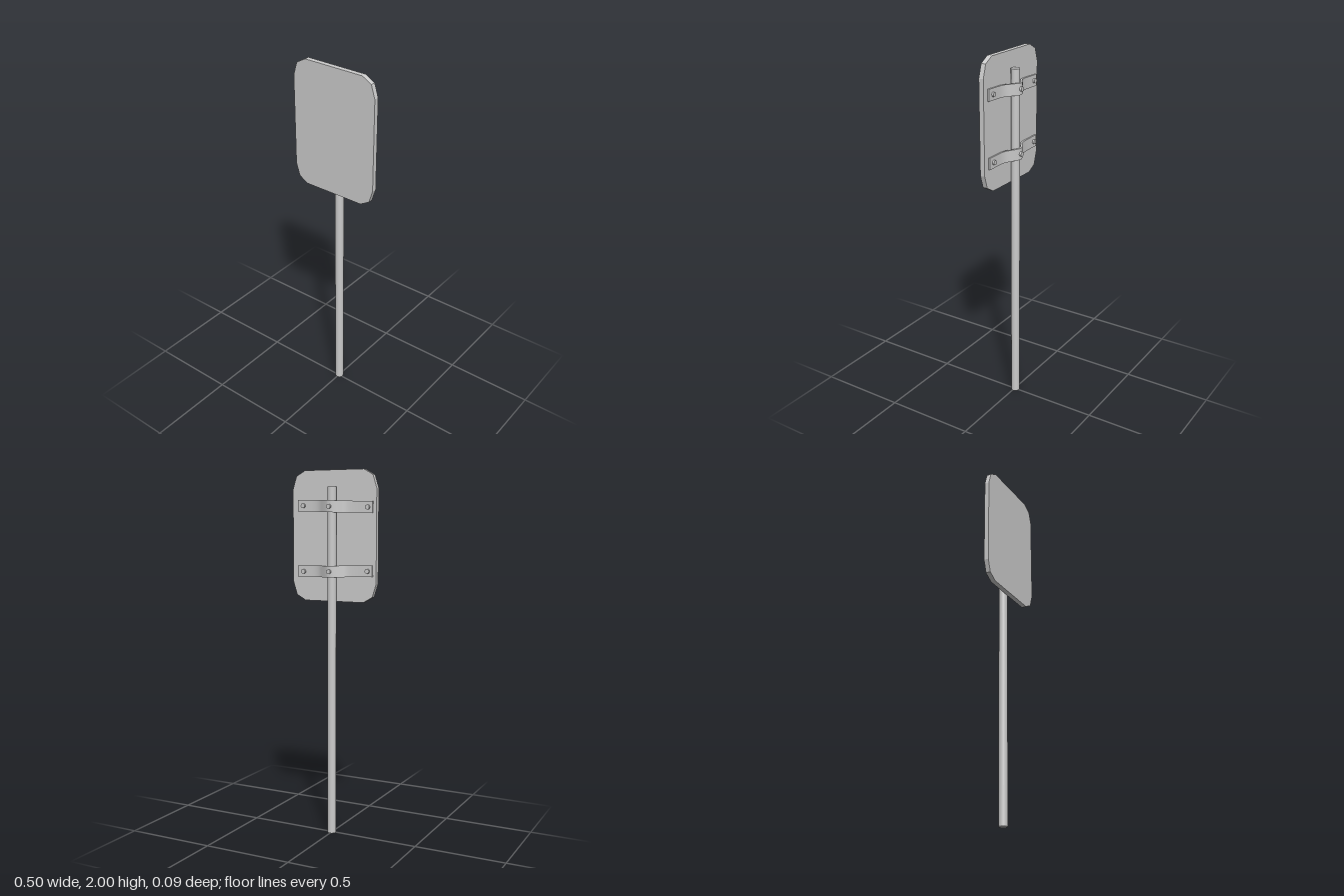
import * as THREE from 'three';
import { toCreasedNormals } from 'three/addons/utils/BufferGeometryUtils.js';

const material = new THREE.MeshStandardMaterial({ color: 0xcccccc });

function addMesh(parent, name, geometry, x = 0, y = 0, z = 0) {
  const mesh = new THREE.Mesh(geometry, material);
  mesh.name = name;
  mesh.position.set(x, y, z);
  parent.add(mesh);
  return mesh;
}

// Flat plate with faceted corners, centred on its own origin in x and y
function panelGeometry(halfW, halfH, depth) {
  const corner = [[halfW, halfH - 0.1], [halfW - 0.022, halfH - 0.03], [halfW - 0.075, halfH]];
  const points = [];
  for (const [sx, sy] of [[1, 1], [-1, 1], [-1, -1], [1, -1]]) {
    const part = corner.map(([x, y]) => new THREE.Vector2(x * sx, y * sy));
    points.push(...(sx * sy > 0 ? part : part.reverse()));
  }
  return new THREE.ExtrudeGeometry(new THREE.Shape(points), { depth, bevelEnabled: false });
}

// Bent metal strip: a centreline (x, distance behind) thickened and extruded upward
function strapGeometry(height, thickness) {
  const line = [
    [-0.23, -0.015], [-0.18, -0.015], [-0.13, -0.014], [-0.085, -0.009], [-0.062, 0.001],
    [-0.036, 0.021], [0, 0.034], [0.02, 0.027], [0.046, 0.012], [0.075, -0.005],
    [0.105, -0.013], [0.15, -0.015], [0.215, -0.015],
  ];
  const curve = new THREE.CatmullRomCurve3(line.map(([x, y]) => new THREE.Vector3(x, y, 0)));
  const lower = [], upper = [];
  for (let i = 0; i <= 32; i++) {
    const p = curve.getPoint(i / 32), t = curve.getTangent(i / 32);
    const dx = -t.y * thickness / 2, dy = t.x * thickness / 2;
    lower.push(new THREE.Vector2(p.x - dx, p.y - dy));
    upper.unshift(new THREE.Vector2(p.x + dx, p.y + dy));
  }
  const shape = new THREE.Shape([...lower, ...upper]);
  const geometry = new THREE.ExtrudeGeometry(shape, { depth: height, bevelEnabled: false });
  geometry.translate(0, 0, -height / 2).rotateX(-Math.PI / 2);
  return toCreasedNormals(geometry, 0.6);
}

// Bolt lying along z, from zBack to zFront
function addBolt(parent, name, x, zBack, zFront) {
  const geometry = new THREE.CylinderGeometry(0.0125, 0.0125, zFront - zBack, 16).rotateX(Math.PI / 2);
  addMesh(parent, name, geometry, x, 0, (zBack + zFront) / 2);
}

export function createModel() {
  const model = new THREE.Group();
  model.name = 'signPost';

  addMesh(model, 'signPanel', panelGeometry(0.25, 0.35, 0.027), 0, 1.65, 0.019);
  addMesh(model, 'pole', new THREE.CylinderGeometry(0.024, 0.024, 1.91, 24), 0, 0.955, -0.005);

  // Two brackets clamping the pole to the panel, each slightly askew
  const strap = strapGeometry(0.062, 0.01);
  for (const [name, y, tilt] of [['upperBracket', 1.808, 0.025], ['lowerBracket', 1.463, -0.025]]) {
    const bracket = new THREE.Group();
    bracket.name = name;
    bracket.position.y = y;
    bracket.rotation.z = tilt;
    addMesh(bracket, 'strap', strap);
    addBolt(bracket, 'rightBolt', -0.204, 0, 0.02);
    addBolt(bracket, 'leftBolt', 0.18, 0, 0.02);
    addBolt(bracket, 'poleBolt', 0, -0.048, -0.02);
    model.add(bracket);
  }
  return model;
}
